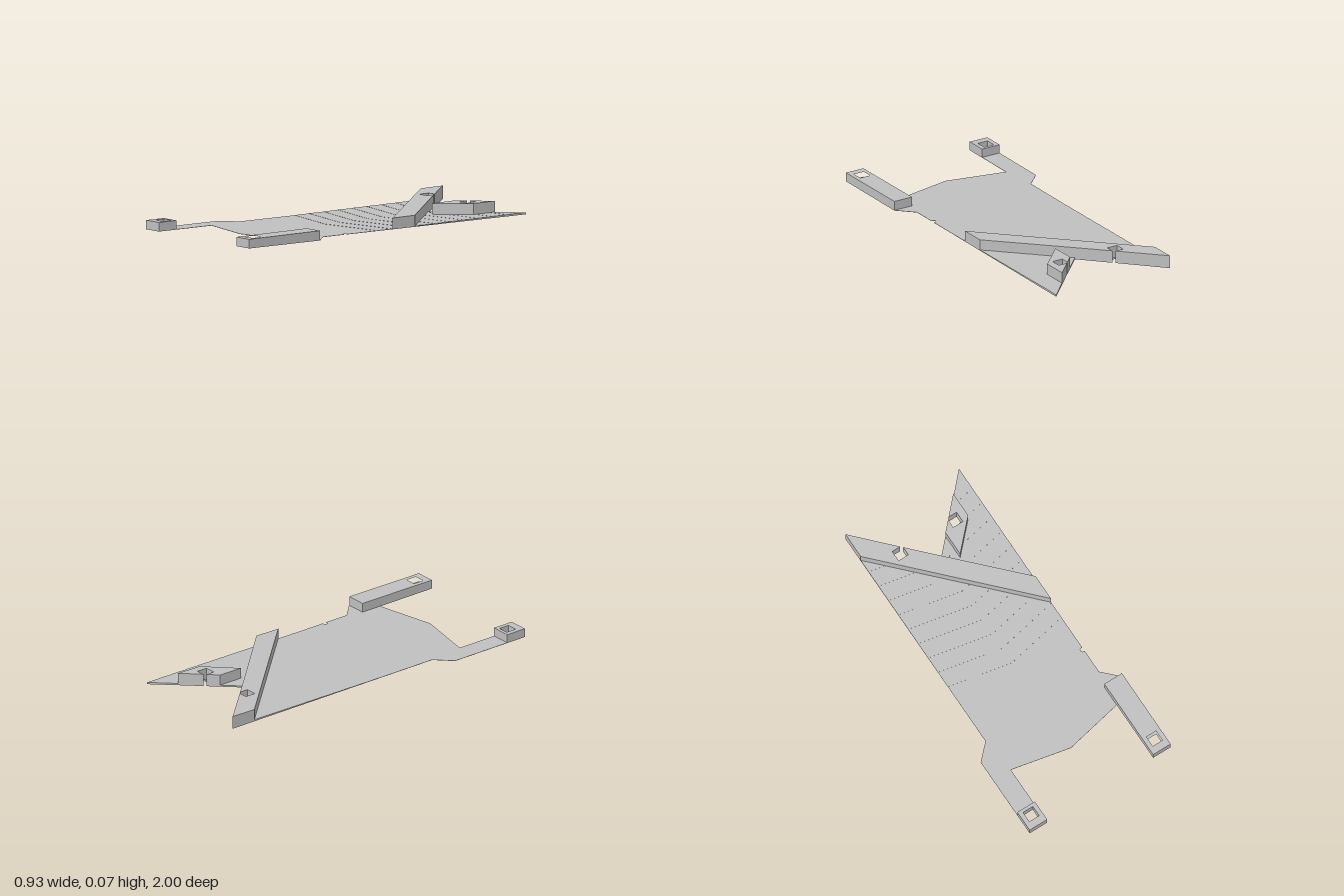
import * as THREE from 'three';

const grey = new THREE.MeshStandardMaterial({ color: 0xc0c0c0 });
grey.name = 'grey';

// Upright prism from [x, z] corners, with optional holes; top(z) sets the upper height
function prism(name, corners, bottom, top, holes = []) {
  const toPoints = list => list.map(([x, z]) => new THREE.Vector2(x, -z));
  const shape = new THREE.Shape(toPoints(corners));
  for (const hole of holes) shape.holes.push(new THREE.Path(toPoints(hole)));
  const geometry = new THREE.ExtrudeGeometry(shape, { depth: 1, bevelEnabled: false });
  geometry.rotateX(-Math.PI / 2);
  const p = geometry.attributes.position;
  for (let i = 0; i < p.count; i++) p.setY(i, p.getY(i) > 0.5 ? top(p.getZ(i)) : bottom);
  geometry.computeVertexNormals();
  const mesh = new THREE.Mesh(geometry, grey);
  mesh.name = name;
  return mesh;
}

// Keep the part of a polygon where f(point) >= 0
function clip(polygon, f) {
  const kept = [];
  polygon.forEach((a, i) => {
    const b = polygon[(i + 1) % polygon.length];
    const fa = f(a), fb = f(b);
    if (fa >= 0) kept.push(a);
    if ((fa >= 0) !== (fb >= 0)) {
      const t = fa / (fa - fb);
      kept.push([a[0] + (b[0] - a[0]) * t, a[1] + (b[1] - a[1]) * t]);
    }
  });
  return kept;
}

export function createModel() {
  const group = new THREE.Group();
  const mirror = (list, side) => list.map(([x, z]) => [x * side, z]);

  // Square hole breaking through the slanted rear edge
  const rearNotch = [[0.147, -0.763], [0.147, -0.711], [0.211, -0.711], [0.211, -0.775], [0.159, -0.775]];
  const legHole = [[0.373, 0.893], [0.437, 0.893], [0.437, 0.957], [0.373, 0.957]];

  // Small round nick in one long edge
  const nick = [];
  for (let i = 0; i <= 6; i++) {
    const a = Math.PI * i / 6;
    nick.push([0.366 - 0.012 * Math.sin(a), 0.257 + 0.012 * Math.cos(a) * -1]);
  }

  // Thin plate in terraces that climb towards the rear along chevron lines
  const chevron = ([x, z]) => z + 0.2 * Math.abs(x);
  const steps = 11;
  for (const side of [-1, 1]) {
    const half = mirror([
      [0, -0.61], ...rearNotch, [0.373, -1],
      ...(side > 0 ? [[0.373, 0.245], ...nick, [0.373, 0.269]] : []),
      [0.373, 0.415], [0.463, 0.505], [0.463, 1], [0.348, 1], [0.348, 0.632], [0, 0.705],
    ], side);
    for (let i = 0; i < steps; i++) {
      const front = 0.21 - 0.1 * i;
      let strip = half;
      if (i > 0) strip = clip(strip, p => front - chevron(p));
      if (i < steps - 1) strip = clip(strip, p => chevron(p) - (front - 0.1));
      if (strip.length < 3) continue;
      const holes = i === 0 ? [mirror(legHole, side)] : [];
      group.add(prism('plateTerrace', strip, 0, () => 0.0016 + 0.0009 * i, holes));
    }
  }

  // Raised diagonal bar and rear block share one gently sloping top
  const rearTop = z => 0.0622 - 0.0118 * z;
  group.add(prism('diagonalBar', [
    [-0.373, -1], ...mirror(rearNotch, -1).reverse(), [0, -0.61],
    [0.373, -0.225], [0.373, -0.07], [-0.373, -0.845],
  ], 0.001, rearTop));
  group.add(prism('rearBlock', [
    [0.095, -0.709], ...rearNotch, [0.255, -0.876], [0.255, -0.725], [0.095, -0.56],
  ], 0.001, rearTop));

  // Raised pads on the two front legs, one short and one long
  const pad = (name, side, back, top) => group.add(prism(name, mirror(
    [[0.348, back], [0.463, back], [0.463, 1], [0.348, 1]], side), 0.001, top, [mirror(legHole, side)]));
  pad('shortLegPad', -1, 0.875, () => 0.051);
  pad('longLegPad', 1, 0.507, z => 0.051 + 0.008 * (1 - z));

  return group;
}
